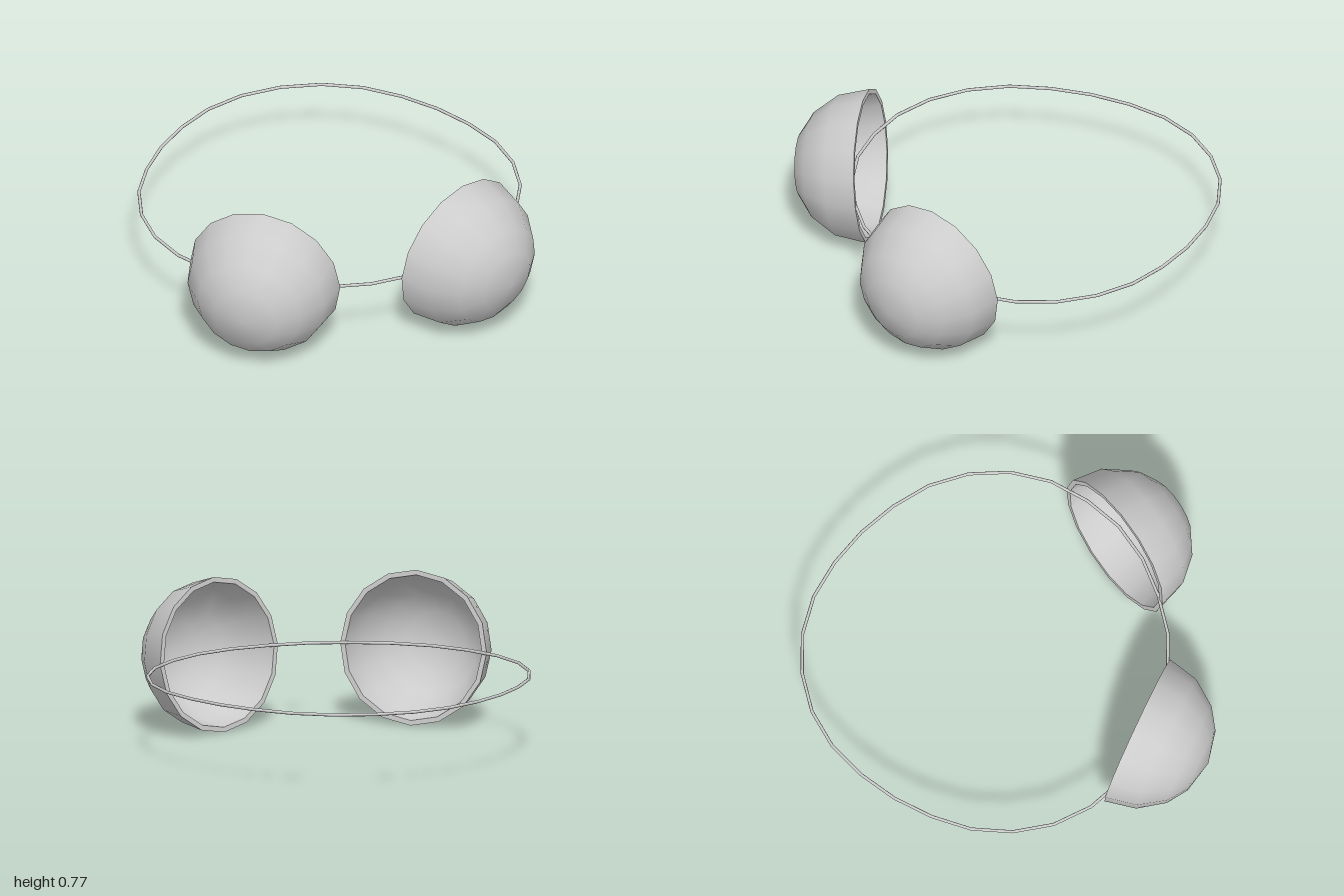
import * as THREE from 'three';
import { toCreasedNormals } from 'three/addons/utils/BufferGeometryUtils.js';

const MID_Y = 0.387;   // height of the cup centres and the cord
const RADIUS = 0.386;
const WALL = 0.025;

// Hollow half-sphere shell, opening at y = 0 and dome along +y
function cupGeometry() {
  const rings = [0, 24, 47, 65, 90].map(THREE.MathUtils.degToRad);
  const arc = (r) => rings.map((a) => new THREE.Vector2(Math.max(0, r * Math.cos(a)), r * Math.sin(a)));
  arc(RADIUS);
  const profile = [...arc(RADIUS - WALL).reverse(), ...arc(RADIUS)];
  profile[0].x = profile[profile.length - 1].x = 0;
  return toCreasedNormals(new THREE.LatheGeometry(profile, 16), 0.8);
}

// Closed cord, given as its left half (x, z) from back to front
function cordGeometry() {
  const half = [
    [0.24, -0.957], [0.43, -0.867], [0.585, -0.742], [0.715, -0.6], [0.822, -0.44],
    [0.903, -0.27], [0.943, -0.08], [0.937, 0.11], [0.88, 0.3], [0.77, 0.47],
    [0.61, 0.63], [0.4, 0.745], [0.17, 0.805],
  ];
  const at = (x, z) => new THREE.Vector3(x, 0, z);
  const points = [
    at(0, -0.992),
    ...half.map(([x, z]) => at(x, z)),
    at(0, 0.823),
    ...half.map(([x, z]) => at(-x, z)).reverse(),
  ];
  const path = new THREE.CatmullRomCurve3(points, true);
  return new THREE.TubeGeometry(path, points.length, 0.008, 8, true);
}

export function createModel() {
  const model = new THREE.Group();
  model.name = 'cupsOnCord';
  const material = new THREE.MeshStandardMaterial({ color: 0xcccccc });

  // Pair of cups, turned outwards and tipped slightly down
  const cup = cupGeometry();
  for (const side of [1, -1]) {
    const mesh = new THREE.Mesh(cup, material);
    mesh.name = side > 0 ? 'leftCup' : 'rightCup';
    mesh.position.set(side * 0.487, MID_Y, 0.615);
    mesh.rotation.order = 'YXZ';
    mesh.rotation.x = THREE.MathUtils.degToRad(96);
    mesh.rotation.y = side * THREE.MathUtils.degToRad(31);
    model.add(mesh);
  }

  // Loop running behind and across the cup openings
  const cord = new THREE.Mesh(cordGeometry(), material);
  cord.name = 'cord';
  cord.position.y = MID_Y;
  model.add(cord);

  return model;
}
